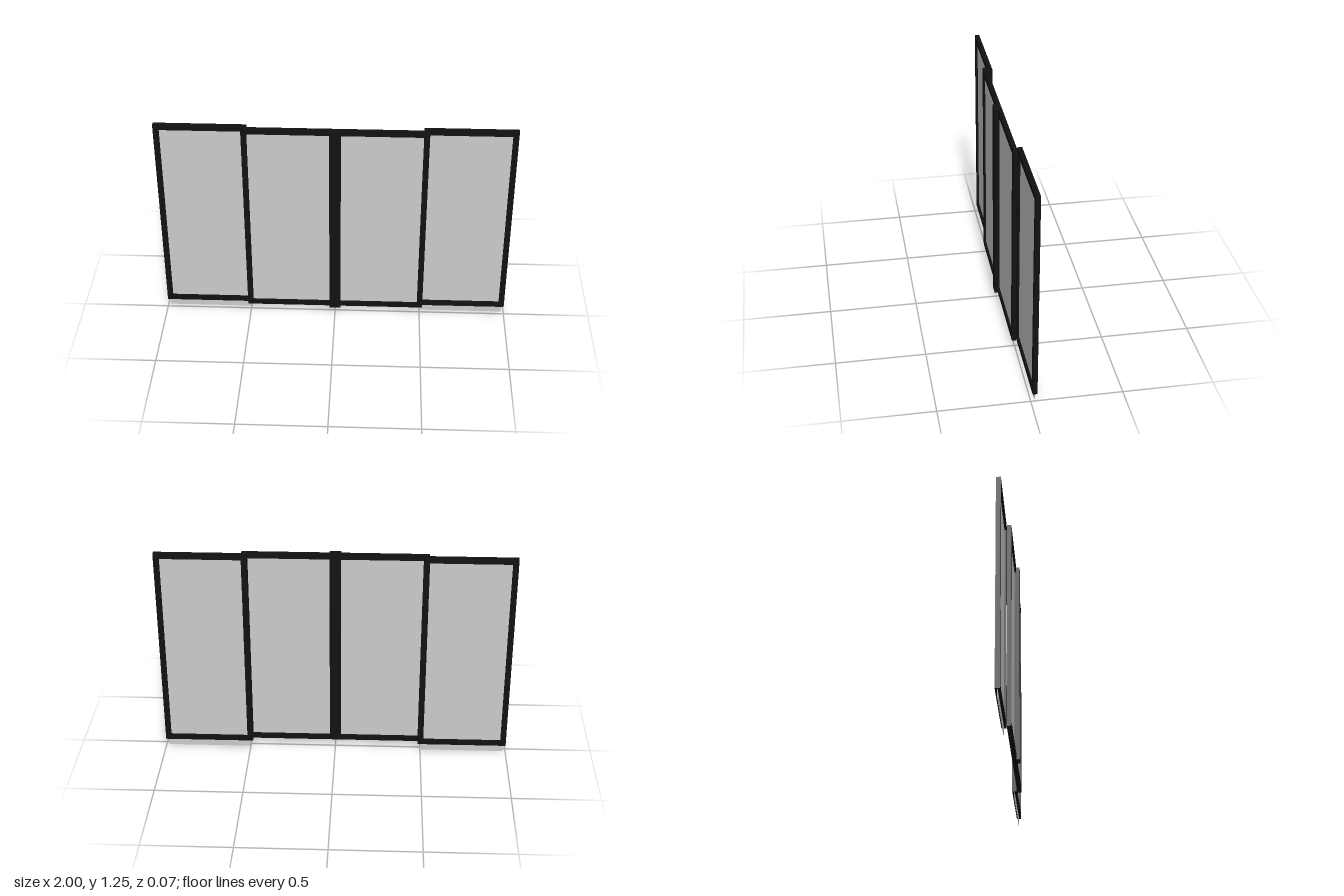
import * as THREE from 'three';

const frameMat = new THREE.MeshStandardMaterial({ color: 0x111111 });
const glassMat = new THREE.MeshStandardMaterial({ color: 0xcccccc });
const TOP = 1.248, BAR = 0.032;

function box(name, x0, x1, y0, y1, z0, z1, material) {
  const mesh = new THREE.Mesh(new THREE.BoxGeometry(x1 - x0, y1 - y0, z1 - z0), material);
  mesh.position.set((x0 + x1) / 2, (y0 + y1) / 2, (z0 + z1) / 2);
  mesh.name = name;
  return mesh;
}

// Rectangular frame with one opening
function frame(x0, x1, y0, z0, z1) {
  const rect = (Path, inset) => new Path([
    [x0 + inset, y0 + inset], [x1 - inset, y0 + inset],
    [x1 - inset, TOP - inset], [x0 + inset, TOP - inset],
  ].map(([x, y]) => new THREE.Vector2(x, y)));
  const shape = rect(THREE.Shape, 0);
  shape.holes.push(rect(THREE.Path, BAR));
  const mesh = new THREE.Mesh(
    new THREE.ExtrudeGeometry(shape, { depth: z1 - z0, bevelEnabled: false }), frameMat);
  mesh.position.z = z0;
  mesh.name = 'frame';
  return mesh;
}

export function createModel() {
  const model = new THREE.Group();
  model.name = 'slidingDoor';

  for (const [side, s] of [['left', 1], ['right', -1]]) {
    const span = (a, b) => (s > 0 ? [a, b] : [-b, -a]);

    // Fixed outer panel on the back track, its glass reaching the floor
    const outer = new THREE.Group();
    outer.name = side + 'OuterPanel';
    outer.add(frame(...span(0.485, 1), 0.044, -0.036, -0.01));
    outer.add(box('glass', ...span(0.501, 0.986), 0, 1.23, -0.0245, -0.0215, glassMat));

    // Sliding inner panel on the front track
    const inner = new THREE.Group();
    inner.name = side + 'InnerPanel';
    inner.add(frame(...span(0, 0.516), 0.046, -0.007, 0.017));
    inner.add(box('glass', ...span(0.015, 0.5), 0.06, 1.235, 0.0035, 0.0065, glassMat));

    model.add(outer, inner);
  }

  // Cover strip over the meeting stiles
  model.add(box('centerStrip', -0.032, 0.032, 0.046, TOP, 0.017, 0.036, frameMat));
  return model;
}
